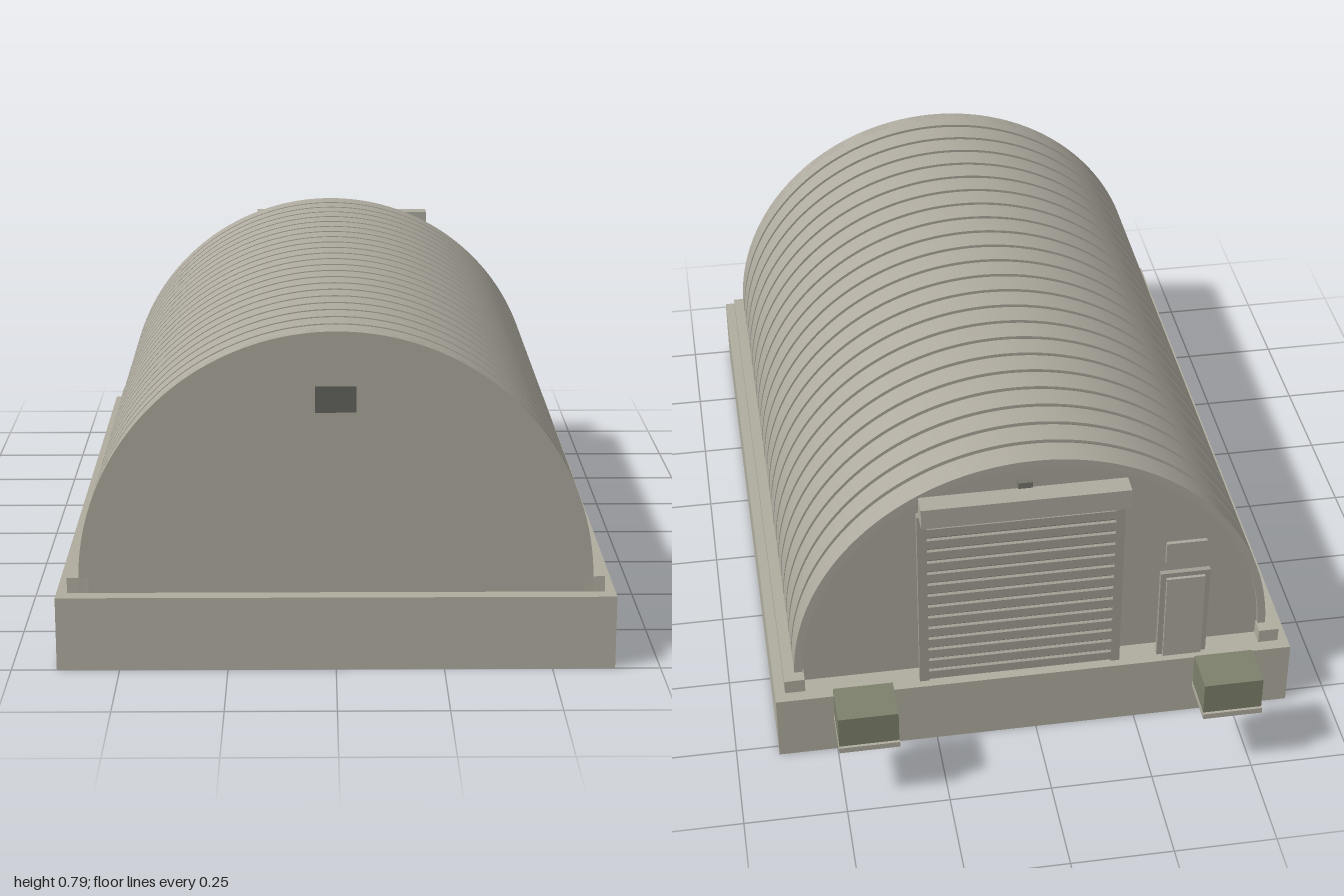
import * as THREE from 'three';
import { toCreasedNormals } from 'three/addons/utils/BufferGeometryUtils.js';

const mat = (name, color) => {
  const m = new THREE.MeshStandardMaterial({ color });
  m.name = name;
  return m;
};

export function createModel() {
  const concrete = mat('concrete', 0xb0ad9f);
  const steel = mat('shell steel', 0xaeaa9f);
  const seamGrey = mat('seam grey', 0x77746b);
  const wallGrey = mat('end wall grey', 0xaaa69b);
  const doorGrey = mat('door grey', 0xa19e93);
  const olive = mat('olive crate', 0x7d806b);
  const dark = mat('dark vent', 0x62625d);

  const model = new THREE.Group();
  model.name = 'archedShelter';

  const add = (name, geometry, material, parent = model) => {
    const mesh = new THREE.Mesh(geometry, material);
    mesh.name = name;
    parent.add(mesh);
    return mesh;
  };
  // Box given by its limits on each axis
  const box = (name, material, [x0, x1], [y0, y1], [z0, z1], parent = model) => {
    const mesh = add(name, new THREE.BoxGeometry(x1 - x0, y1 - y0, z1 - z0), material, parent);
    mesh.position.set((x0 + x1) / 2, (y0 + y1) / 2, (z0 + z1) / 2);
    return mesh;
  };

  // Arch outline standing on the slab, hollow when an inner radius is given
  const FLOOR = 0.175, SPRING = 0.2;
  const arch = (z0, z1, r, inner = 0) => {
    const s = new THREE.Shape();
    s.moveTo(r, FLOOR);
    s.lineTo(r, SPRING);
    s.absarc(0, SPRING, r, 0, Math.PI, false);
    s.lineTo(-r, FLOOR);
    if (inner) {
      s.lineTo(-inner, FLOOR);
      s.lineTo(-inner, SPRING);
      s.absarc(0, SPRING, inner, Math.PI, 0, true);
      s.lineTo(inner, FLOOR);
    }
    s.closePath();
    const g = new THREE.ExtrudeGeometry(s, { depth: z1 - z0, bevelEnabled: false, curveSegments: 48 });
    g.translate(0, 0, z0);
    return toCreasedNormals(g, 0.5);
  };

  // Foundation slab and side curbs
  box('foundation', concrete, [-0.645, 0.645], [0, FLOOR], [-0.78, 1]);
  for (const s of [-1, 1]) {
    box('sideCurb', concrete, s < 0 ? [-0.62, -0.57] : [0.57, 0.62], [FLOOR, 0.212], [-0.75, 0.964]);
  }

  // Shell: steel bands separated by narrow recessed seams
  const Z0 = -0.72, Z1 = 0.963, R = 0.593, BANDS = 23, GAP = 0.012;
  const pitch = (Z1 - Z0) / BANDS;
  const shell = new THREE.Group();
  shell.name = 'shell';
  model.add(shell);
  add('seamLiner', arch(Z0 + 0.01, Z1 - 0.01, R - 0.006, R - 0.02), seamGrey, shell);
  for (let i = 0; i < BANDS; i++) {
    const a = Z0 + i * pitch + (i ? GAP / 2 : 0);
    const b = Z0 + (i + 1) * pitch - (i < BANDS - 1 ? GAP / 2 : 0);
    add('shellBand', arch(a, b, R, R - 0.02), steel, shell);
  }

  // End walls; the rear one sits slightly inside the shell
  add('frontWall', arch(Z1 - 0.03, Z1 + 0.001, R), wallGrey);
  add('rearWall', arch(Z0 + 0.01, Z0 + 0.03, R - 0.015), wallGrey);

  // Front vent with louvres
  box('frontVent', dark, [-0.048, 0.046], [0.607, 0.667], [0.963, 0.974]);

  // Roller door: backing, slats, guide rails and roll housing
  const door = new THREE.Group();
  door.name = 'rollerDoor';
  model.add(door);
  const slats = 15, slatPitch = (0.69 - FLOOR) / slats;
  box('doorBacking', seamGrey, [-0.19, 0.265], [FLOOR, 0.7], [-0.75, -0.742], door);
  for (let i = 0; i < slats; i++) {
    const y = FLOOR + i * slatPitch;
    box('doorSlat', doorGrey, [-0.19, 0.265], [y + 0.005, y + slatPitch - 0.005], [-0.76, -0.75], door);
  }
  box('guideRail', doorGrey, [-0.212, -0.19], [FLOOR, 0.69], [-0.76, -0.742], door);
  box('guideRail', doorGrey, [0.265, 0.288], [FLOOR, 0.69], [-0.76, -0.742], door);
  box('rollHousing', steel, [-0.215, 0.283], [0.69, 0.745], [-0.805, -0.755], door);
  box('doorLamp', seamGrey, [0.015, 0.05], [0.758, 0.774], [-0.775, -0.758], door);

  // Personnel door with a plate above it
  const side = new THREE.Group();
  side.name = 'personnelDoor';
  model.add(side);
  box('doorFrame', doorGrey, [-0.432, -0.308], [FLOOR, 0.435], [-0.755, -0.742], side);
  box('doorLeaf', steel, [-0.418, -0.322], [FLOOR, 0.422], [-0.763, -0.755], side);
  box('doorPlate', wallGrey, [-0.42, -0.32], [0.465, 0.525], [-0.752, -0.742], side);

  // Crates on pallets behind the building
  for (const [x, z] of [[-0.442, -0.94], [0.438, -0.918]]) {
    const crate = new THREE.Group();
    crate.name = 'crate';
    crate.position.set(x, 0, z);
    model.add(crate);
    box('pallet', concrete, [-0.073, 0.073], [FLOOR, 0.19], [-0.06, 0.058], crate);
    box('crateBody', olive, [-0.072, 0.072], [0.19, 0.275], [-0.053, 0.057], crate);
  }
  return model;
}
